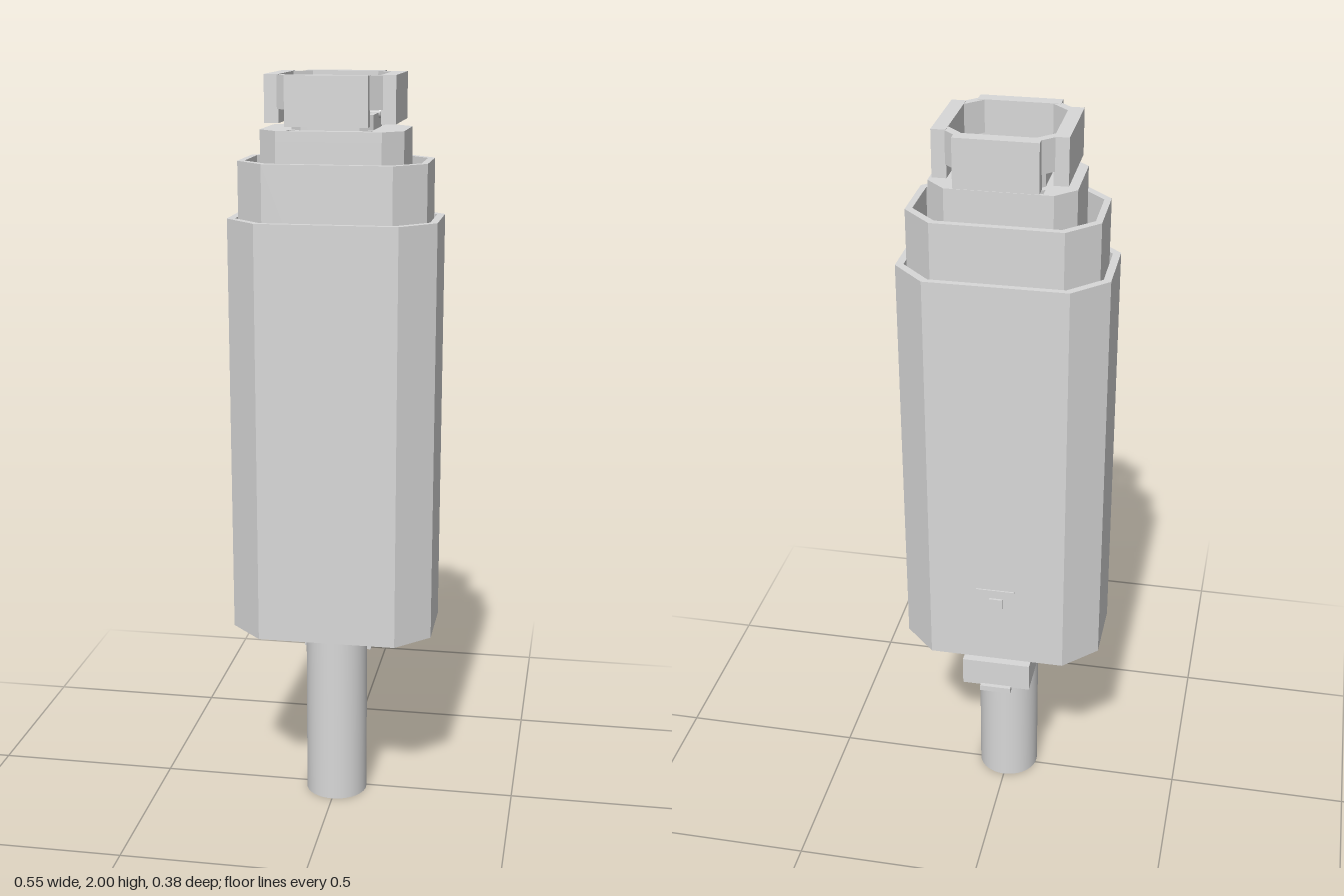
import * as THREE from 'three';

const gray = new THREE.MeshStandardMaterial({ color: 0xd8d8d8 });
gray.name = 'light gray';

export function createModel() {
  const group = new THREE.Group();

  const add = (name, geo, x = 0, y = 0, z = 0) => {
    const mesh = new THREE.Mesh(geo, gray);
    mesh.name = name;
    mesh.position.set(x, y, z);
    group.add(mesh);
    return mesh;
  };
  const box = (name, x0, x1, y0, y1, z0, z1) =>
    add(name, new THREE.BoxGeometry(x1 - x0, y1 - y0, z1 - z0),
      (x0 + x1) / 2, (y0 + y1) / 2, (z0 + z1) / 2);

  // Chamfered rectangle in plan, as [x, z] points
  const octagon = (w, back, front, c) => [
    [-w + c, back], [w - c, back], [w, back + c], [w, front - c],
    [w - c, front], [-w + c, front], [-w, front - c], [-w, back + c]];
  const toVecs = (pts) => pts.map(([x, z]) => new THREE.Vector2(x, -z));

  // Upright prism from a plan outline with optional holes;
  // the outline runs opposite to the holes so that inner walls face inwards
  const prism = (name, pts, holes, y0, y1) => {
    const shape = new THREE.Shape(toVecs(pts).reverse());
    shape.holes = holes.map((h) => new THREE.Path(toVecs(h)));
    const geo = new THREE.ExtrudeGeometry(shape, { depth: y1 - y0, bevelEnabled: false });
    geo.rotateX(-Math.PI / 2);
    return add(name, geo, 0, y0, 0);
  };

  // Nested open sleeves
  prism('outerSleeve', octagon(0.273, -0.17, 0.19, 0.088),
    [octagon(0.253, -0.153, 0.173, 0.08)], 0.51, 1.635);
  prism('middleSleeve', octagon(0.245, -0.152, 0.172, 0.078),
    [octagon(0.228, -0.134, 0.154, 0.071)], 0.9, 1.782);
  prism('innerSleeve', octagon(0.185, -0.125, 0.145, 0.05),
    [octagon(0.165, -0.122, 0.142, 0.045)], 1.1, 1.835);

  // Shoulder plate with small corner openings around the neck
  const neck = octagon(0.105, -0.097, 0.115, 0.03);
  const openings = [];
  for (const s of [-1, 1]) {
    openings.push([[s * 0.108, -0.088], [s * 0.108, -0.118], [s * 0.078, -0.118]]);
    openings.push([[s * 0.108, 0.106], [s * 0.108, 0.136], [s * 0.078, 0.136]]);
  }
  prism('shoulderPlate', octagon(0.185, -0.125, 0.145, 0.05), [neck, ...openings], 1.835, 1.862);

  // Neck, its floor and the two contact pins
  prism('neck', neck, [octagon(0.088, -0.077, 0.098, 0.022)], 1.6, 1.9);
  box('neckFloor', -0.09, 0.09, 1.6, 1.64, -0.08, 0.1);
  box('neckFloorRib', -0.088, 0.088, 1.635, 1.66, -0.03, 0);
  for (const s of [-1, 1]) {
    const pin = add('contactPin', new THREE.CylinderGeometry(0.014, 0.014, 0.066, 20),
      s * 0.078, 1.9, -0.016);
    pin.rotation.z = Math.PI / 2;
  }

  // Socket rim: thin corners joined to four deeper walls
  prism('socketRim', octagon(0.134, -0.134, 0.154, 0.03),
    [octagon(0.13, -0.12, 0.14, 0.043)], 1.915, 1.999);
  box('socketBackWall', -0.105, 0.105, 1.875, 2, -0.157, -0.12);
  box('socketFrontWall', -0.105, 0.105, 1.875, 2, 0.14, 0.178);
  for (const s of [-1, 1]) {
    box('socketSideWall', s * 0.1485 - 0.0185, s * 0.1485 + 0.0185, 1.88, 2, -0.105, 0.123);
  }

  // Cable
  add('cable', new THREE.CylinderGeometry(0.085, 0.085, 0.9, 48), 0, 0.45, 0.015);

  // Latch under the sleeve
  for (const s of [-1, 1]) {
    box('latchSide', s * 0.086 - 0.008, s * 0.086 + 0.008, 0.42, 0.5, -0.168, 0);
  }
  box('latchTop', -0.094, 0.094, 0.485, 0.5, -0.168, 0);
  box('latchBack', -0.094, 0.094, 0.42, 0.5, -0.18, -0.166);
  box('latchTab', -0.043, 0.043, 0.408, 0.424, -0.192, -0.172);

  // Raised panel and button on the back
  box('backPanel', -0.05, 0.055, 0.665, 0.74, -0.174, -0.169);
  box('button', -0.018, 0.018, 0.685, 0.715, -0.18, -0.173);

  return group;
}
